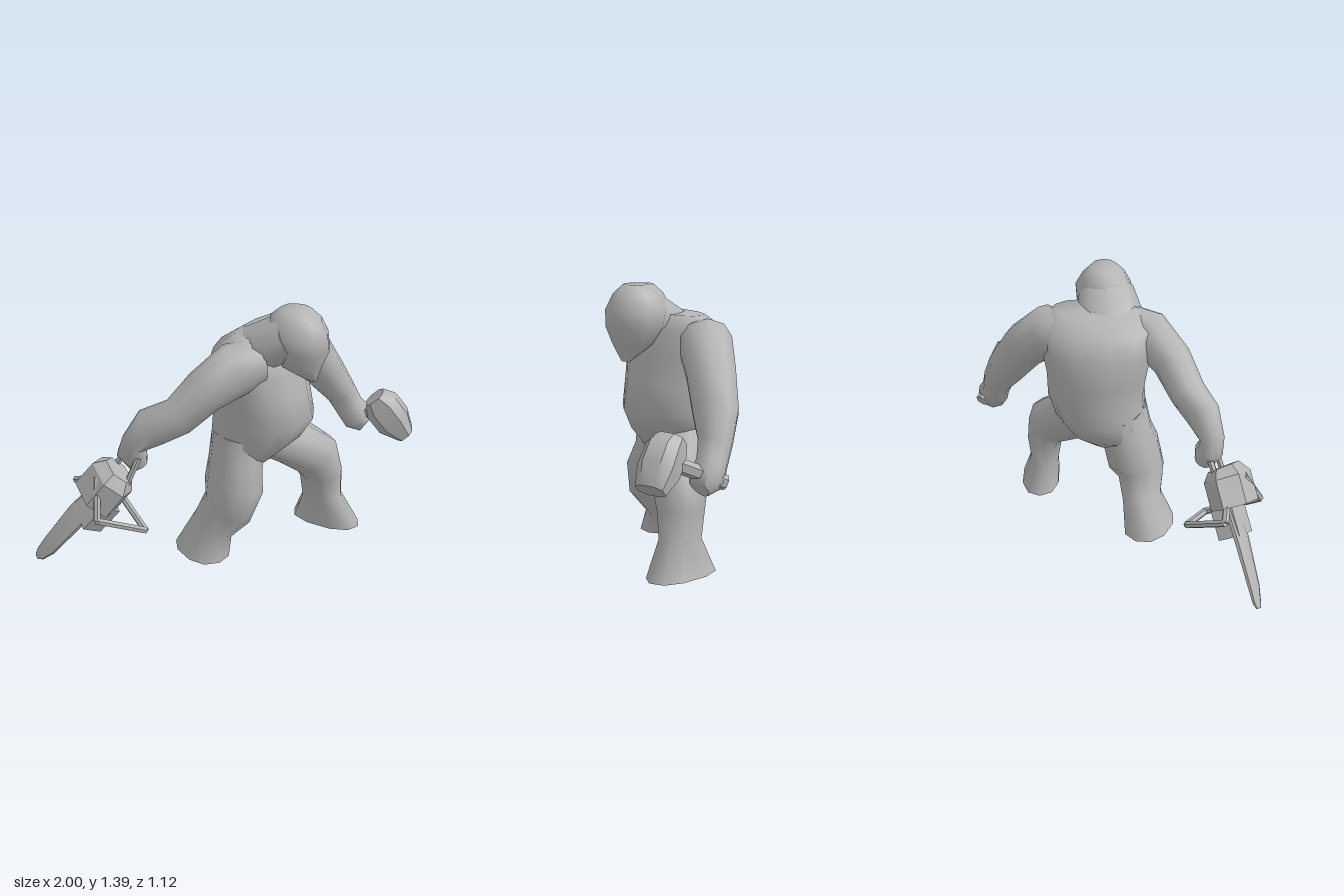
import * as THREE from 'three';
import { toCreasedNormals } from 'three/addons/utils/BufferGeometryUtils.js';

const V = (x, y, z) => new THREE.Vector3(x, y, z);
const UP = V(0, 1, 0);

// Skins rings [x, y, z, radiusA, radiusB]; radiusB lies along ref, radiusA across it.
function loft(rings, { ref = V(0, 0, 1), sides = 10, axis, endAxis, boxy = 1, crease = 1.1 } = {}) {
  const pos = [], index = [];
  const centres = rings.map(r => V(r[0], r[1], r[2]));
  const last = rings.length - 1;
  const shape = v => Math.sign(v) * Math.abs(v) ** boxy;
  rings.forEach((r, i) => {
    let t = axis || centres[Math.min(i + 1, last)].clone().sub(centres[Math.max(i - 1, 0)]);
    if (i === last && endAxis) t = endAxis;
    t = t.clone().normalize();
    const b = ref.clone().addScaledVector(t, -ref.dot(t)).normalize();
    const a = b.clone().cross(t);
    for (let j = 0; j < sides; j++) {
      const q = ((j + 0.5) / sides) * Math.PI * 2;
      const p = centres[i].clone()
        .addScaledVector(a, shape(Math.cos(q)) * r[3])
        .addScaledVector(b, shape(Math.sin(q)) * r[4]);
      pos.push(p.x, p.y, p.z);
    }
  });
  for (let i = 0; i < last; i++) {
    for (let j = 0; j < sides; j++) {
      const k = (j + 1) % sides, p = i * sides, n = p + sides;
      index.push(p + j, p + k, n + j, p + k, n + k, n + j);
    }
  }
  // End caps
  const c = rings.length * sides;
  for (const m of [centres[0], centres[last]]) pos.push(m.x, m.y, m.z);
  for (let j = 0; j < sides; j++) {
    const k = (j + 1) % sides;
    index.push(c, k, j, c + 1, last * sides + j, last * sides + k);
  }
  const g = new THREE.BufferGeometry();
  g.setAttribute('position', new THREE.Float32BufferAttribute(pos, 3));
  g.setIndex(index);
  return toCreasedNormals(g, crease);
}

export function createModel() {
  const model = new THREE.Group();
  const grey = new THREE.MeshStandardMaterial({ color: 0xb4b4b4 });
  grey.name = 'plain grey';

  const add = (name, geometry, parent = model) => {
    const mesh = new THREE.Mesh(geometry, grey);
    mesh.name = name;
    parent.add(mesh);
    return mesh;
  };
  const rod = (name, a, b, r, parent) =>
    add(name, loft([[...a, r, r], [...b, r, r]], { sides: 6, ref: V(0.3, 0.5, 0.8), crease: 0.6 }), parent);

  // Torso with a heavy belly
  add('torso', loft([
    [0.10, 0.49, -0.01, 0.11, 0.10],
    [0.11, 0.55, -0.01, 0.20, 0.17],
    [0.165, 0.65, -0.03, 0.245, 0.23],
    [0.20, 0.76, -0.04, 0.26, 0.265],
    [0.18, 0.90, -0.04, 0.27, 0.25],
    [0.165, 1.05, -0.045, 0.295, 0.23],
    [0.17, 1.17, -0.045, 0.30, 0.18],
    [0.20, 1.245, -0.04, 0.22, 0.10],
  ], { ref: V(0.87, 0, 0.5), axis: UP, sides: 12, boxy: 0.9 }));

  // Neck and head
  add('neck', loft([
    [0.13, 1.12, 0.00, 0.16, 0.13],
    [0.23, 1.19, 0.05, 0.175, 0.125],
    [0.34, 1.25, 0.08, 0.15, 0.13],
  ], { ref: UP }));
  add('head', loft([
    [0.45, 1.02, 0.10, 0.025, 0.025],
    [0.39, 1.10, 0.09, 0.10, 0.11],
    [0.38, 1.19, 0.08, 0.145, 0.16],
    [0.365, 1.27, 0.08, 0.155, 0.165],
    [0.36, 1.345, 0.08, 0.115, 0.135],
    [0.36, 1.393, 0.08, 0.07, 0.08],
  ], { ref: V(0.94, 0, 0.34), axis: UP }));

  // Arms, each ending in a fist
  add('rightArm', loft([
    [0.17, 1.12, 0.13, 0.12, 0.11],
    [0.07, 1.11, 0.20, 0.14, 0.115],
    [-0.08, 1.01, 0.265, 0.115, 0.105],
    [-0.21, 0.88, 0.295, 0.10, 0.095],
    [-0.35, 0.82, 0.315, 0.105, 0.085],
    [-0.44, 0.73, 0.32, 0.065, 0.065],
    [-0.45, 0.67, 0.30, 0.08, 0.07],
    [-0.42, 0.59, 0.29, 0.05, 0.05],
  ]));
  add('leftArm', loft([
    [0.21, 1.10, -0.18, 0.12, 0.12],
    [0.31, 1.11, -0.265, 0.14, 0.135],
    [0.43, 0.985, -0.35, 0.125, 0.125],
    [0.53, 0.82, -0.42, 0.105, 0.115],
    [0.61, 0.70, -0.455, 0.085, 0.085],
    [0.66, 0.61, -0.46, 0.08, 0.075],
    [0.71, 0.55, -0.46, 0.09, 0.085],
    [0.76, 0.515, -0.44, 0.055, 0.06],
  ]));

  // Legs flaring into flat-soled feet
  const legOptions = ref => ({ ref, endAxis: V(0, -1, 0), boxy: 0.88 });
  add('rightLeg', loft([
    [0.08, 0.66, 0.05, 0.13, 0.17],
    [0.06, 0.52, 0.08, 0.125, 0.165],
    [0.055, 0.40, 0.115, 0.13, 0.185],
    [0.025, 0.28, 0.15, 0.115, 0.155],
    [-0.05, 0.16, 0.12, 0.095, 0.13],
    [-0.115, 0, 0.135, 0.125, 0.175],
  ], legOptions(V(0.8, 0, 1))));
  add('leftLeg', loft([
    [0.20, 0.63, -0.12, 0.15, 0.12],
    [0.35, 0.525, -0.175, 0.135, 0.13],
    [0.48, 0.43, -0.205, 0.13, 0.135],
    [0.515, 0.31, -0.23, 0.10, 0.12],
    [0.525, 0.17, -0.23, 0.08, 0.115],
    [0.555, 0, -0.25, 0.11, 0.20],
  ], legOptions(V(1, 0, 0.45))));

  // Mallet in the left hand
  const mallet = new THREE.Group();
  mallet.name = 'mallet';
  model.add(mallet);
  add('malletHead', loft([
    [0.79, 0.74, -0.315, 0.06, 0.075],
    [0.83, 0.695, -0.31, 0.10, 0.09],
    [0.90, 0.61, -0.305, 0.10, 0.095],
    [0.97, 0.535, -0.30, 0.05, 0.075],
  ], { sides: 8, boxy: 0.75, crease: 0.6 }), mallet);
  rod('malletHandle', [0.68, 0.53, -0.54], [0.84, 0.64, -0.34], 0.037, mallet);

  // Chainsaw hanging from the right hand
  const saw = new THREE.Group();
  saw.name = 'chainsaw';
  model.add(saw);
  const along = V(-0.64, -0.77, 0).normalize();
  const thin = V(0.6, -0.5, -0.65).normalize();
  const wide = along.clone().cross(thin).normalize();
  thin.copy(wide).cross(along);
  add('sawMotor', loft([
    [-0.51, 0.59, 0.355, 0.08, 0.09],
    [-0.545, 0.55, 0.36, 0.115, 0.14],
    [-0.64, 0.43, 0.36, 0.115, 0.145],
  ], { ref: wide, sides: 6, boxy: 0.9, crease: 0.4 }), saw);
  const guard = add('sawGuard', new THREE.BoxGeometry(0.16, 0.17, 0.12), saw);
  guard.quaternion.setFromRotationMatrix(new THREE.Matrix4().makeBasis(wide, along, thin));
  guard.position.set(-0.645, 0.345, 0.34);
  add('sawBlade', loft([
    [-0.62, 0.44, 0.34, 0.025, 0.07],
    [-0.75, 0.30, 0.345, 0.025, 0.075],
    [-0.91, 0.10, 0.34, 0.02, 0.058],
    [-0.965, 0.04, 0.33, 0.015, 0.04],
    [-0.985, 0.022, 0.33, 0.008, 0.02],
  ], { ref: wide, sides: 8, crease: 0.6 }), saw);

  // Bent handle bar around the motor
  const bar = [
    [-0.61, 0.58, 0.42], [-0.60, 0.39, 0.535], [-0.39, 0.22, 0.33],
    [-0.55, 0.31, 0.135], [-0.77, 0.45, 0.23], [-0.63, 0.52, 0.32],
  ];
  for (let i = 0; i < bar.length - 1; i++) rod('handleBar', bar[i], bar[i + 1], 0.019, saw);
  // Grip struts reaching into the fist
  rod('gripStrut', [-0.55, 0.57, 0.29], [-0.47, 0.68, 0.28], 0.017, saw);
  rod('gripStrut', [-0.47, 0.52, 0.38], [-0.41, 0.66, 0.35], 0.017, saw);

  return model;
}
